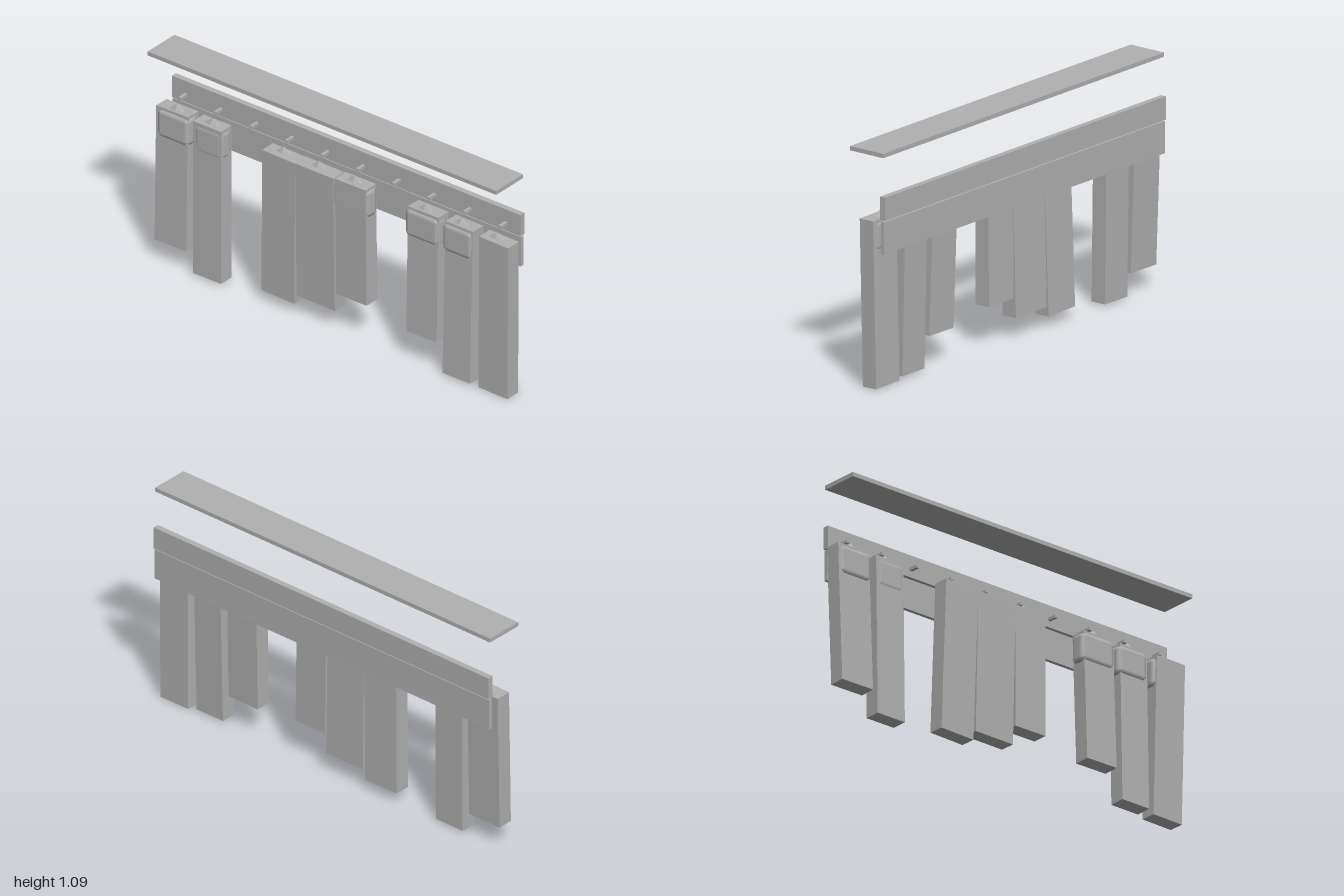
import * as THREE from 'three';
import { RoundedBoxGeometry } from 'three/addons/geometries/RoundedBoxGeometry.js';

const grey = new THREE.MeshStandardMaterial({ color: 0xb0b0b0 });
const COAT_TOP = 0.775, COAT_DEPTH = 0.075, COAT_Z = -0.008;

// Hanging coats: peg x, top centre x, bottom centre x, width, bottom y,
// lean (top z minus bottom z), hood width
const COATS = [
  [-0.9, -0.908, -0.901, 0.178, 0.105, -0.02, 0.18],
  [-0.7, -0.705, -0.701, 0.157, 0.008, -0.006, 0.16],
  [-0.3, -0.294, -0.31, 0.185, 0.052, 0.014, 0.17],
  [-0.1, -0.094, -0.097, 0.215, 0.097, 0.014, 0.18],
  [0.1, 0.104, 0.108, 0.172, 0.19, 0.004, 0.2],
  [0.5, 0.505, 0.511, 0.17, 0.152, -0.018, 0.19],
  [0.7, 0.708, 0.706, 0.154, 0.012, -0.018, 0.17],
  [0.9, 0.913, 0.902, 0.163, 0.002, 0.009, 0.17],
];

function add(parent, name, geometry, x, y, z) {
  const mesh = new THREE.Mesh(geometry, grey);
  mesh.name = name;
  mesh.position.set(x, y, z);
  parent.add(mesh);
  return mesh;
}

// Low faceted collar peak, flattened front to back
function collarGeometry() {
  const g = new THREE.ConeGeometry(0.042, 0.03, 6).toNonIndexed();
  g.scale(1, 1, 0.45);
  g.computeVertexNormals();
  return g;
}

function makeCoat([peg, top, bottom, width, base, lean, hoodWidth]) {
  const coat = new THREE.Group();
  coat.name = 'coat';
  const h = COAT_TOP - base;
  // Body tilts slightly about its own centre
  const body = add(coat, 'coatBody', new THREE.BoxGeometry(width, h, COAT_DEPTH),
    (top + bottom) / 2, base + h / 2, COAT_Z);
  body.rotation.set(lean / h, 0, -(top - bottom) / h);
  // Hood pokes a little way through the body
  add(coat, 'hood', new RoundedBoxGeometry(hoodWidth, 0.142, 0.079, 1, 0.025), peg, 0.697, COAT_Z);
  add(coat, 'collar', collarGeometry(), peg, 0.79, COAT_Z);
  return coat;
}

export function createModel() {
  const model = new THREE.Group();
  model.name = 'coatRack';

  // Shelf and wall boards
  add(model, 'shelf', new THREE.BoxGeometry(1.96, 0.02, 0.188), 0, 1.08, 0.006);
  add(model, 'pegRail', new THREE.BoxGeometry(1.96, 0.107, 0.028), 0, 0.837, -0.084);
  add(model, 'lowerBoard', new THREE.BoxGeometry(1.96, 0.148, 0.018), 0, 0.702, -0.084);

  // Ten evenly spaced pegs
  for (let i = 0; i < 10; i++) {
    add(model, 'peg', new THREE.BoxGeometry(0.015, 0.014, 0.048), -0.9 + i * 0.2, 0.822, -0.048);
  }

  for (const spec of COATS) model.add(makeCoat(spec));
  return model;
}
